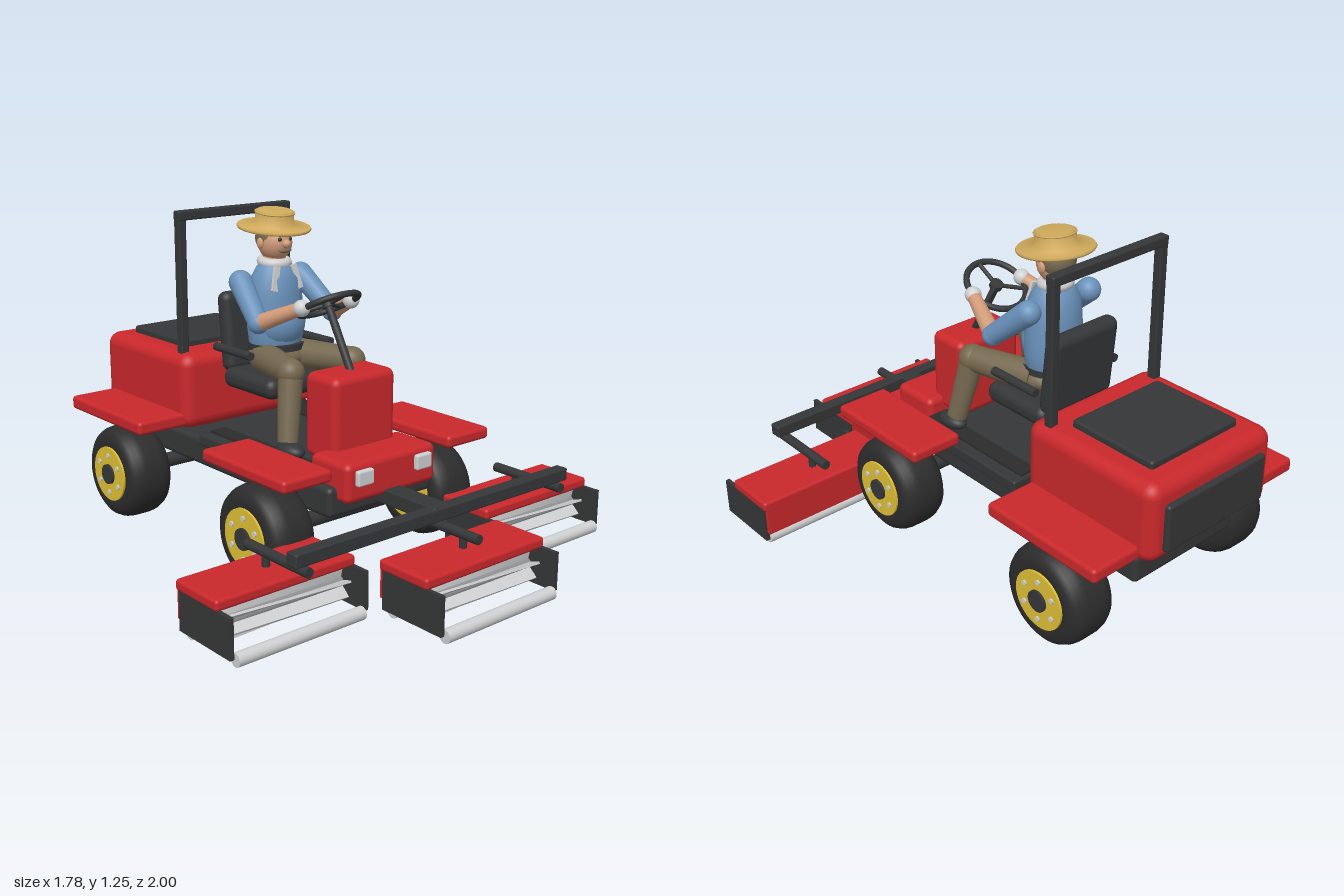
import * as THREE from 'three';
import { RoundedBoxGeometry } from 'three/addons/geometries/RoundedBoxGeometry.js';

const mat = (name, color) => Object.assign(new THREE.MeshStandardMaterial({ color }), { name });
const red = mat('red paint', 0xc9282b), black = mat('black metal', 0x353637), rubber = mat('rubber', 0x2c2c2c);
const yellow = mat('yellow rim', 0xe0c035), silver = mat('silver', 0xcfd0d1), steel = mat('steel', 0x8e9092);
const blue = mat('blue shirt', 0x6a92bb), khaki = mat('khaki cloth', 0x74684f);
const straw = mat('straw', 0xd0aa5c), skin = mat('skin', 0xd19a78);

const V = (x, y, z) => new THREE.Vector3(x, y, z);

function add(parent, name, geo, material, x = 0, y = 0, z = 0) {
  const m = new THREE.Mesh(geo, material);
  m.name = name;
  m.position.set(x, y, z);
  parent.add(m);
  return m;
}

// Box given by its minimum and maximum corners, rounded when r > 0
function box(parent, name, material, [x0, x1], [y0, y1], [z0, z1], r = 0) {
  const s = [x1 - x0, y1 - y0, z1 - z0];
  const geo = r ? new RoundedBoxGeometry(...s, 3, r) : new THREE.BoxGeometry(...s);
  return add(parent, name, geo, material, (x0 + x1) / 2, (y0 + y1) / 2, (z0 + z1) / 2);
}

// Tapered rod from a to b
function rod(parent, name, material, a, b, ra, rb = ra) {
  const d = b.clone().sub(a), c = a.clone().add(b).multiplyScalar(0.5);
  const m = add(parent, name, new THREE.CylinderGeometry(rb, ra, d.length(), 20), material, c.x, c.y, c.z);
  m.quaternion.setFromUnitVectors(V(0, 1, 0), d.normalize());
  return m;
}

function ball(parent, name, material, r, x, y, z, sx = 1, sy = 1, sz = 1) {
  const m = add(parent, name, new THREE.SphereGeometry(r, 24, 16), material, x, y, z);
  m.scale.set(sx, sy, sz);
  return m;
}

const lathe = (pts) => new THREE.LatheGeometry(pts.map((p) => new THREE.Vector2(...p)), 40);

function wheel(parent, name, x, z) {
  const g = new THREE.Group();
  g.name = name;
  g.position.set(x, 0.187, z);
  g.rotation.z = Math.PI / 2;
  add(g, 'tyre', lathe([[0.1, -0.09], [0.125, -0.095], [0.15, -0.092], [0.17, -0.078], [0.182, -0.055], [0.186, -0.03],
    [0.186, 0.03], [0.182, 0.055], [0.17, 0.078], [0.15, 0.092], [0.125, 0.095], [0.1, 0.09]]), rubber);
  add(g, 'rim', new THREE.CylinderGeometry(0.11, 0.11, 0.2, 36), yellow);
  add(g, 'hub', new THREE.CylinderGeometry(0.04, 0.04, 0.22, 24), black);
  for (let i = 0; i < 6; i++) {
    const a = (i * Math.PI) / 3;
    add(g, 'bolt', new THREE.CylinderGeometry(0.01, 0.01, 0.212, 10), silver, 0.076 * Math.cos(a), 0, 0.076 * Math.sin(a));
  }
  parent.add(g);
}

// Reel mower; z = 0 is the back edge of its cover
function reelMower(parent, name, x, z) {
  const g = new THREE.Group();
  g.name = name;
  g.position.set(x, 0, z);
  box(g, 'cover', red, [-0.285, 0.285], [0.17, 0.21], [0, 0.225], 0.012);
  box(g, 'backWall', red, [-0.275, 0.275], [0.07, 0.185], [0, 0.02]);
  for (const s of [-1, 1]) {
    box(g, 'endPlate', black, [s * 0.275 - 0.008, s * 0.275 + 0.008], [0.035, 0.175], [0.018, 0.29]);
  }
  for (const rz of [0.045, 0.285]) rod(g, 'roller', silver, V(-0.26, 0.03, rz), V(0.26, 0.03, rz), 0.024);
  rod(g, 'reelShaft', steel, V(-0.27, 0.1, 0.165), V(0.27, 0.1, 0.165), 0.02);
  // Slightly twisted blades
  for (let i = 0; i < 6; i++) {
    const geo = new THREE.BoxGeometry(0.53, 0.045, 0.008, 10, 1, 1);
    geo.translate(0, 0.04, 0);
    const p = geo.attributes.position;
    for (let k = 0; k < p.count; k++) {
      const a = (i * Math.PI) / 3 + p.getX(k) * 0.8;
      const y = p.getY(k), w = p.getZ(k);
      p.setXYZ(k, p.getX(k), y * Math.cos(a) - w * Math.sin(a), y * Math.sin(a) + w * Math.cos(a));
    }
    geo.computeVertexNormals();
    add(g, 'reelBlade', geo, silver, 0, 0.1, 0.165);
  }
  box(g, 'bedKnife', steel, [-0.265, 0.265], [0.04, 0.055], [0.08, 0.13]);
  parent.add(g);
}

function buildDriver(root) {
  const g = new THREE.Group();
  g.name = 'driver';
  root.add(g);
  const torso = add(g, 'torso', lathe([[0, 0.69], [0.09, 0.69], [0.108, 0.74], [0.115, 0.8], [0.113, 0.86], [0.108, 0.93],
    [0.1, 0.99], [0.075, 1.035], [0.04, 1.06]]), blue, 0, 0, -0.21);
  torso.scale.z = 0.85;
  ball(g, 'belly', blue, 0.1, 0, 0.82, -0.185, 1.05, 1, 0.9);
  const belt = add(g, 'belt', new THREE.CylinderGeometry(0.112, 0.112, 0.025, 32), black, 0, 0.732, -0.205);
  belt.scale.z = 0.95;
  ball(g, 'hips', khaki, 0.11, 0, 0.69, -0.2, 1.1, 0.5, 0.95);

  for (const s of [-1, 1]) {
    // Arms
    const shoulder = V(s * 0.145, 0.985, -0.235), elbow = V(s * 0.178, 0.855, -0.085), hand = V(s * 0.118, 0.932, 0.092);
    ball(g, 'shoulder', blue, 0.045, shoulder.x, shoulder.y, shoulder.z);
    rod(g, 'upperArm', blue, shoulder, elbow, 0.045, 0.038);
    ball(g, 'elbow', blue, 0.039, elbow.x, elbow.y, elbow.z);
    rod(g, 'forearm', skin, elbow, hand, 0.033, 0.025);
    ball(g, 'glove', silver, 0.031, hand.x, hand.y, hand.z);
    // Legs
    const hip = V(s * 0.07, 0.69, -0.19), knee = V(s * 0.148, 0.695, 0.065), ankle = V(s * 0.195, 0.45, 0.105);
    rod(g, 'thigh', khaki, hip, knee, 0.06, 0.05);
    ball(g, 'knee', khaki, 0.052, knee.x, knee.y, knee.z);
    rod(g, 'shin', khaki, knee, ankle, 0.047, 0.038);
    ball(g, 'boot', black, 0.042, s * 0.2, 0.425, 0.125, 1, 0.75, 1.6);
    // Scarf ends
    const end = box(g, 'scarfEnd', silver, [s * 0.05 - 0.013, s * 0.05 + 0.013], [0.95, 1.045], [-0.148, -0.138]);
    end.rotation.set(-0.15, 0, s * 0.25);
  }

  // Head
  rod(g, 'neck', skin, V(0, 1.02, -0.215), V(0, 1.1, -0.215), 0.045);
  const scarf = add(g, 'scarf', new THREE.TorusGeometry(0.047, 0.02, 12, 28), silver, 0, 1.05, -0.215);
  scarf.rotation.x = Math.PI / 2 + 0.1;
  ball(g, 'head', skin, 0.068, 0, 1.125, -0.21, 0.95, 1.05, 1);
  ball(g, 'hair', khaki, 0.068, 0, 1.14, -0.222, 1.0, 0.95, 1);
  ball(g, 'nose', skin, 0.017, 0, 1.125, -0.14);
  const tache = ball(g, 'moustache', khaki, 0.03, 0, 1.1, -0.15, 1, 0.3, 0.5);
  tache.rotation.x = 0.2;
  for (const s of [-1, 1]) {
    ball(g, 'ear', skin, 0.019, s * 0.067, 1.125, -0.215, 0.5, 1.1, 0.9);
    ball(g, 'eye', black, 0.008, s * 0.024, 1.142, -0.15);
  }

  // Straw hat
  const hat = add(g, 'hat', lathe([[0, -0.006], [0.138, -0.006], [0.142, 0], [0.138, 0.006], [0.075, 0.008],
    [0.073, 0.056], [0.066, 0.064], [0, 0.064]]), straw, 0, 1.182, -0.215);
  hat.rotation.x = 0.11;
  const band = add(hat, 'hatBand', new THREE.TorusGeometry(0.073, 0.004, 8, 36), straw, 0, 0.056, 0);
  band.rotation.x = Math.PI / 2;
}

export function createModel() {
  const root = new THREE.Group();
  root.name = 'ridingMower';

  // Chassis and floor
  box(root, 'chassis', black, [-0.25, 0.25], [0.248, 0.36], [-0.88, 0.4], 0.02);
  box(root, 'floor', black, [-0.29, 0.29], [0.352, 0.397], [-0.325, 0.238], 0.008);
  for (const s of [-1, 1]) box(root, 'floorMat', rubber, [s * 0.21 - 0.035, s * 0.21 + 0.035], [0.39, 0.405], [-0.31, 0.23]);

  // Rear engine housing
  box(root, 'engineHousing', red, [-0.3, 0.3], [0.39, 0.69], [-0.98, -0.39], 0.05);
  box(root, 'engineLid', black, [-0.21, 0.21], [0.67, 0.717], [-0.89, -0.525], 0.012);
  box(root, 'rearGrille', black, [-0.24, 0.24], [0.435, 0.615], [-1, -0.96], 0.012);

  // Front cowl and nose
  box(root, 'cowl', red, [-0.147, 0.147], [0.4, 0.715], [0.138, 0.312], 0.03);
  box(root, 'nose', red, [-0.215, 0.215], [0.305, 0.452], [0.25, 0.455], 0.025);

  // Fenders, headlights, roll bar posts, armrests
  for (const s of [-1, 1]) {
    const span = (a, b) => (s > 0 ? [a, b] : [-b, -a]);
    box(root, 'frontFender', red, span(0.28, 0.494), [0.41, 0.457], [-0.015, 0.455], 0.015);
    box(root, 'rearFender', red, span(0.25, 0.497), [0.403, 0.457], [-0.93, -0.418], 0.015);
    box(root, 'headlight', silver, span(0.103, 0.178), [0.37, 0.427], [0.44, 0.473], 0.008);
    box(root, 'rollBarPost', black, span(0.235, 0.27), [0.66, 1.235], [-0.487, -0.452], 0.006);
    rod(root, 'armrest', black, V(s * 0.195, 0.728, -0.33), V(s * 0.195, 0.728, -0.11), 0.016);
    wheel(root, 'frontWheel', s * 0.39, 0.225);
    wheel(root, 'rearWheel', s * 0.39, -0.668);
  }
  box(root, 'rollBarTop', black, [-0.27, 0.27], [1.2, 1.237], [-0.489, -0.45], 0.006);
  for (const z of [0.225, -0.668]) rod(root, 'axle', black, V(-0.39, 0.187, z), V(0.39, 0.187, z), 0.03);

  // Seat
  box(root, 'seatCushion', black, [-0.17, 0.17], [0.563, 0.643], [-0.335, -0.03], 0.035);
  const back = box(root, 'seatBack', black, [-0.158, 0.158], [0.62, 0.93], [-0.375, -0.305], 0.032);
  back.rotation.x = -0.1;

  // Steering column and wheel
  rod(root, 'steeringColumn', black, V(0, 0.69, 0.235), V(0, 0.93, 0.1), 0.015);
  const steering = new THREE.Group();
  steering.name = 'steeringWheel';
  steering.position.set(0, 0.932, 0.1);
  steering.rotation.x = -0.5;
  add(steering, 'steeringRim', new THREE.TorusGeometry(0.115, 0.012, 12, 40), black).rotation.x = Math.PI / 2;
  add(steering, 'steeringHub', new THREE.CylinderGeometry(0.025, 0.025, 0.02, 20), black);
  for (const a of [Math.PI / 2, Math.PI * 7 / 6, Math.PI * 11 / 6]) {
    rod(steering, 'spoke', black, V(0, 0, 0), V(0.115 * Math.cos(a), 0, 0.115 * Math.sin(a)), 0.008);
  }
  root.add(steering);

  // Mower boom and arms
  box(root, 'boom', black, [-0.04, 0.04], [0.272, 0.328], [0.35, 0.7], 0.006);
  box(root, 'crossbar', black, [-0.65, 0.65], [0.277, 0.325], [0.66, 0.71], 0.006);
  rod(root, 'centreArm', black, V(0, 0.258, 0.66), V(0, 0.258, 0.872), 0.018);
  rod(root, 'centreLink', black, V(0, 0.2, 0.8), V(0, 0.26, 0.8), 0.014);
  for (const s of [-1, 1]) {
    rod(root, 'sideArm', black, V(s * 0.605, 0.258, 0.4), V(s * 0.605, 0.258, 0.72), 0.018);
    rod(root, 'sideLink', black, V(s * 0.605, 0.2, 0.5), V(s * 0.605, 0.26, 0.5), 0.014);
    reelMower(root, 'sideReelMower', s * 0.603, 0.392);
  }
  reelMower(root, 'centreReelMower', 0, 0.69);

  buildDriver(root);
  return root;
}
